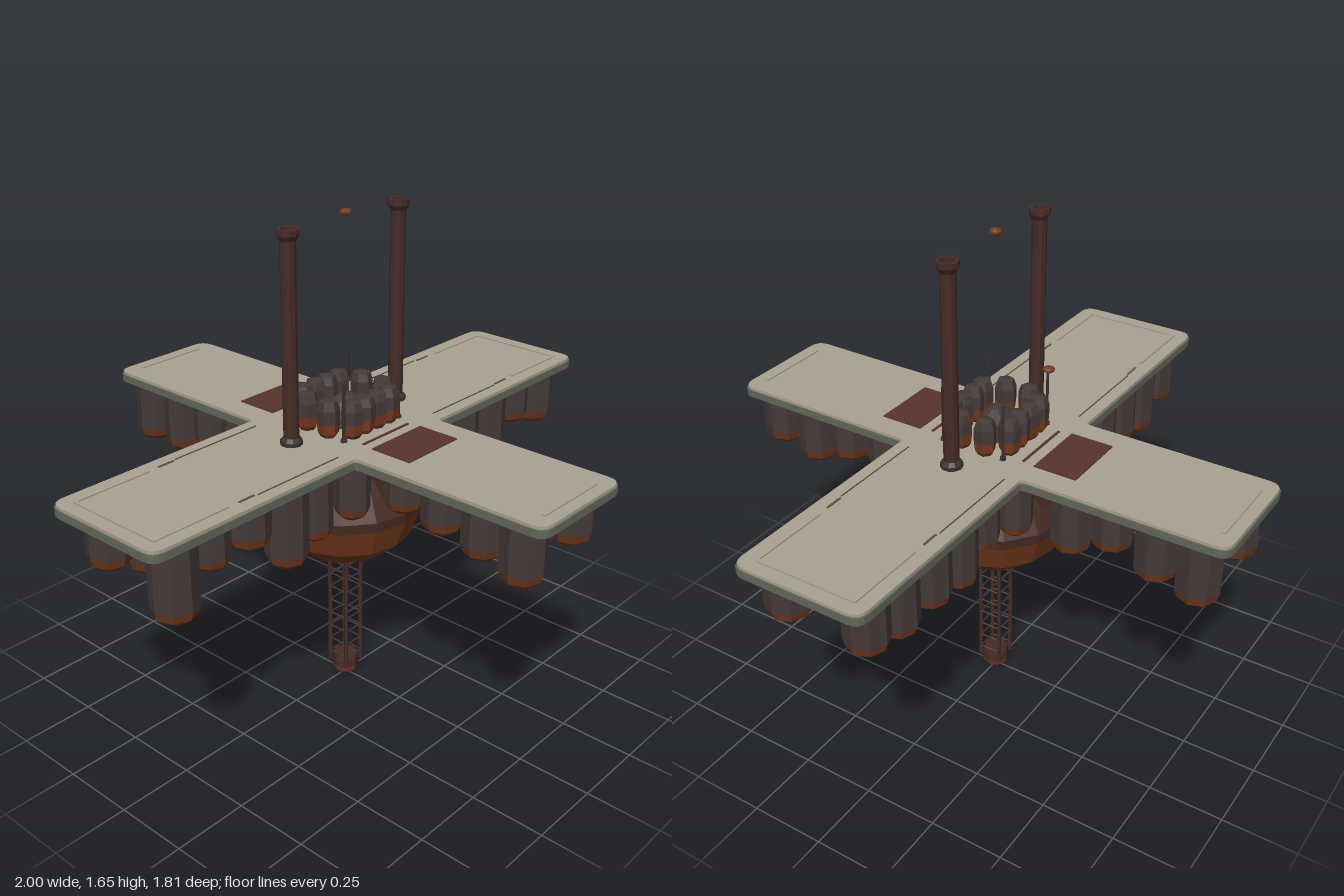
import * as THREE from 'three';

const mat = (name, color, double) => {
  const m = new THREE.MeshStandardMaterial({ color, flatShading: true });
  m.name = name;
  if (double) m.side = THREE.DoubleSide;
  return m;
};

export function createModel() {
  const root = new THREE.Group();
  root.name = 'hangingPlatform';
  const M = {
    deck: mat('deckGrey', 0xaaa291),
    rim: mat('rimGreen', 0x63675a),
    tank: mat('tankDark', 0x443a39),
    rust: mat('rust', 0x75391c),
    hull: mat('hullBrown', 0x452b22, true),
    pipe: mat('pipeBrown', 0x452b25, true),
    hatch: mat('hatchRed', 0x59342d),
    line: mat('trimDark', 0x5c574b),
    iron: mat('iron', 0x38302d),
  };
  const add = (name, geo, m, x = 0, y = 0, z = 0, parent = root) => {
    const mesh = new THREE.Mesh(geo, m);
    mesh.name = name;
    mesh.position.set(x, y, z);
    parent.add(mesh);
    return mesh;
  };
  const lathe = (pts, n) => new THREE.LatheGeometry(pts.map(p => new THREE.Vector2(...p)), n);
  const box = (name, w, h, d, x, y, z, m, parent) => add(name, new THREE.BoxGeometry(w, h, d), m, x, y, z, parent);

  // Cross-shaped deck with rounded ends
  const crossShape = inset => {
    const X = 1 - inset, Z = 0.905 - inset, a = 0.205 - inset, b = 0.225 - inset;
    const c = [[X, -b], [X, b], [a, b], [a, Z], [-a, Z], [-a, b], [-X, b], [-X, -b], [-a, -b], [-a, -Z], [a, -Z], [a, -b]];
    const s = new THREE.Shape();
    c.forEach((p, i) => {
      const prev = c[(i + 11) % 12], next = c[(i + 1) % 12];
      const r = i % 3 === 2 ? 0.015 : 0.045;
      const toward = q => {
        const l = Math.hypot(q[0] - p[0], q[1] - p[1]);
        return [p[0] + (q[0] - p[0]) * r / l, p[1] + (q[1] - p[1]) * r / l];
      };
      const s0 = toward(prev), s1 = toward(next);
      if (i) s.lineTo(...s0); else s.moveTo(...s0);
      s.quadraticCurveTo(p[0], p[1], ...s1);
    });
    s.closePath();
    return s;
  };
  const slab = (inset, h) => new THREE.ExtrudeGeometry(crossShape(inset), { depth: h, bevelEnabled: false, curveSegments: 4 }).rotateX(-Math.PI / 2);
  add('deckRim', slab(0, 0.025), M.rim, 0, 0.927, 0);
  add('deckPlate', slab(0.004, 0.01), M.deck, 0, 0.952, 0);
  add('deckSoffit', slab(0.025, 0.006), M.hull, 0, 0.921, 0);

  // Deck trim and hatches
  const top = 0.963;
  for (const s of [-1, 1]) {
    box('hatch', 0.235, 0.006, 0.148, 0, top, s * 0.289, M.hatch);
    box('hatchStrip', 0.22, 0.005, 0.008, 0, top, s * 0.172, M.hatch);
    box('endTrim', 0.27, 0.007, 0.012, 0, top, s * 0.855, M.deck);
    box('endTrim', 0.012, 0.007, 0.34, s * 0.947, top, 0, M.deck);
    for (const t of [-1, 1]) {
      box('sideTrim', 0.27, 0.007, 0.01, s * 0.815, top, t * 0.171, M.deck);
      box('sideTrim', 0.06, 0.005, 0.006, s * 0.61, top, t * 0.173, M.line);
      box('sideTrim', 0.34, 0.004, 0.003, s * 0.4, top, t * 0.178, M.line);
    }
  }

  // Hanging tanks: dark barrel with rounded rust bottom
  const tank = (x, z, r, b) => {
    const g = new THREE.Group();
    g.name = 'hangingTank';
    g.position.set(x, 0, z);
    root.add(g);
    const k = b + r * 0.75;
    add('tankBarrel', lathe([[r, k], [r, 0.93], [0, 0.93]], 8), M.tank, 0, 0, 0, g);
    add('tankBottom', lathe([[0, b], [r * 0.5, b + r * 0.07], [r * 0.87, b + r * 0.36], [r, k]], 8), M.rust, 0, 0, 0, g);
  };
  // Each row: [distance along arm, radius, bottom height]
  const rows = [
    { a: 'x', s: -1, o: 0.14, t: [[0.865, 0.074, 0.665], [0.725, 0.06, 0.775], [0.575, 0.068, 0.78], [0.42, 0.069, 0.655], [0.3, 0.06, 0.70]] },
    { a: 'x', s: -1, o: -0.14, t: [[0.865, 0.07, 0.73], [0.73, 0.066, 0.665], [0.575, 0.07, 0.695], [0.43, 0.068, 0.72], [0.3, 0.06, 0.73]] },
    { a: 'x', s: 1, o: 0.14, t: [[0.87, 0.072, 0.73], [0.73, 0.062, 0.77], [0.57, 0.076, 0.655], [0.43, 0.067, 0.67], [0.3, 0.064, 0.71]] },
    { a: 'x', s: 1, o: -0.14, t: [[0.87, 0.07, 0.73], [0.73, 0.068, 0.695], [0.575, 0.07, 0.70], [0.43, 0.066, 0.68], [0.3, 0.06, 0.74]] },
    { a: 'z', s: 1, o: 0.125, t: [[0.79, 0.07, 0.75], [0.645, 0.068, 0.72], [0.5, 0.072, 0.77], [0.35, 0.066, 0.78]] },
    { a: 'z', s: 1, o: -0.125, t: [[0.79, 0.072, 0.715], [0.65, 0.068, 0.75], [0.5, 0.068, 0.78], [0.35, 0.064, 0.80]] },
    { a: 'z', s: -1, o: 0.125, t: [[0.79, 0.073, 0.69], [0.65, 0.07, 0.72], [0.5, 0.068, 0.77], [0.36, 0.068, 0.71]] },
    { a: 'z', s: -1, o: -0.125, t: [[0.8, 0.07, 0.71], [0.65, 0.068, 0.71], [0.5, 0.068, 0.76], [0.36, 0.066, 0.72]] },
  ];
  for (const { a, s, o, t } of rows)
    for (const [d, r, b] of t) a === 'x' ? tank(s * d, o, r, b) : tank(o, s * d, r, b);
  for (const x of [-0.175, 0.175]) for (const z of [-0.185, 0.185]) tank(x, z, 0.058, 0.74);

  // Keel under each arm, shallower toward the tip
  const keel = new THREE.Shape([[0.1, 0.925], [0.1, 0.76], [0.22, 0.775], [0.45, 0.795], [0.8, 0.84], [0.83, 0.925]].map(p => new THREE.Vector2(...p)));
  for (let i = 0; i < 4; i++) {
    const k = add('armKeel', new THREE.ExtrudeGeometry(keel, { depth: 0.12, bevelEnabled: false }).translate(0, 0, -0.06), M.hull);
    k.rotation.y = i * Math.PI / 2;
    if (i % 2) k.scale.x = 0.92;
  }

  // Hub bowl
  add('hubUpper', lathe([[0.257, 0.675], [0.26, 0.71], [0.22, 0.78], [0.16, 0.85], [0.12, 0.925]], 14), M.hull);
  add('hubLower', lathe([[0, 0.493], [0.11, 0.503], [0.15, 0.517], [0.222, 0.58], [0.257, 0.675]], 14), M.rust);
  add('hubFinial', new THREE.CylinderGeometry(0.018, 0.012, 0.06, 8), M.iron, 0, 0.47, 0);

  // Ladder-like mast below the hub
  const mast = new THREE.Group();
  mast.name = 'latticeMast';
  root.add(mast);
  const h = 0.037;
  for (let i = 0; i < 4; i++) {
    const side = new THREE.Group();
    side.name = 'mastSide';
    side.rotation.y = i * Math.PI / 2;
    mast.add(side);
    add('mastPost', new THREE.CylinderGeometry(0.007, 0.007, 0.46, 6), M.pipe, h, 0.28, h, side);
    for (let k = 0; k < 8; k++)
      add('mastRung', new THREE.CylinderGeometry(0.0035, 0.0035, 2 * h, 4).rotateZ(Math.PI / 2), M.iron, 0, 0.085 + k * 0.052, h, side);
  }
  add('mastPodBand', lathe([[0.046, 0.035], [0.046, 0.06], [0.042, 0.078], [0, 0.08]], 8), M.hull);
  add('mastPodBottom', lathe([[0, 0], [0.026, 0.004], [0.042, 0.018], [0.046, 0.035]], 8), M.rust);

  // Hollow chimneys, open right through to the deck
  for (const s of [-1, 1]) {
    add('chimney', lathe([[0.025, 0.962], [0.025, 1.605], [0.035, 1.622], [0.035, 1.64], [0.022, 1.64], [0.022, 0.962]], 10), M.pipe, s * 0.25, 0, 0);
    add('chimneyFlange', lathe([[0.036, 0.96], [0.036, 0.975], [0.025, 0.987]], 10), M.iron, s * 0.25, 0, 0);
  }

  // Floating lamp
  add('floatingLamp', new THREE.SphereGeometry(0.02, 8, 5).scale(1, 0.55, 1), M.rust, 0, 1.643, 0);

  // Ring of small tanks round a low dome
  const ring = [];
  for (const s of [-1, 1]) {
    for (const x of [-0.085, -0.029, 0.029, 0.085]) ring.push([x, s * 0.106]);
    for (const z of [-0.045, 0.045]) ring.push([s * 0.13, z]);
  }
  for (const [x, z] of ring) {
    const g = new THREE.Group();
    g.name = 'ringTank';
    g.position.set(x, 0, z);
    g.rotation.y = Math.atan2(x, z);
    root.add(g);
    add('ringTankBody', lathe([[0.037, 1.01], [0.037, 1.055], [0.028, 1.082], [0, 1.088]], 6), M.tank, 0, 0, 0, g);
    add('ringTankBottom', lathe([[0, 0.958], [0.022, 0.96], [0.033, 0.976], [0.037, 1.01]], 6), M.rust, 0, 0, 0, g);
  }
  add('centreDome', new THREE.SphereGeometry(1, 12, 5, 0, Math.PI * 2, 0, Math.PI / 2).scale(0.086, 0.1, 0.064), M.tank, 0, 0.96, 0);

  // Corner posts, one with a lamp
  for (const x of [-0.132, 0.132]) for (const z of [-0.112, 0.112]) {
    add('cornerPost', new THREE.CylinderGeometry(0.005, 0.006, 0.19, 6), M.iron, x, 1.055, z);
    add('postFoot', new THREE.CylinderGeometry(0.01, 0.012, 0.012, 6), M.iron, x, 0.966, z);
  }
  add('postLamp', new THREE.SphereGeometry(0.021, 8, 5).scale(1, 0.5, 1), M.rust, -0.136, 1.16, -0.113);

  return root;
}
